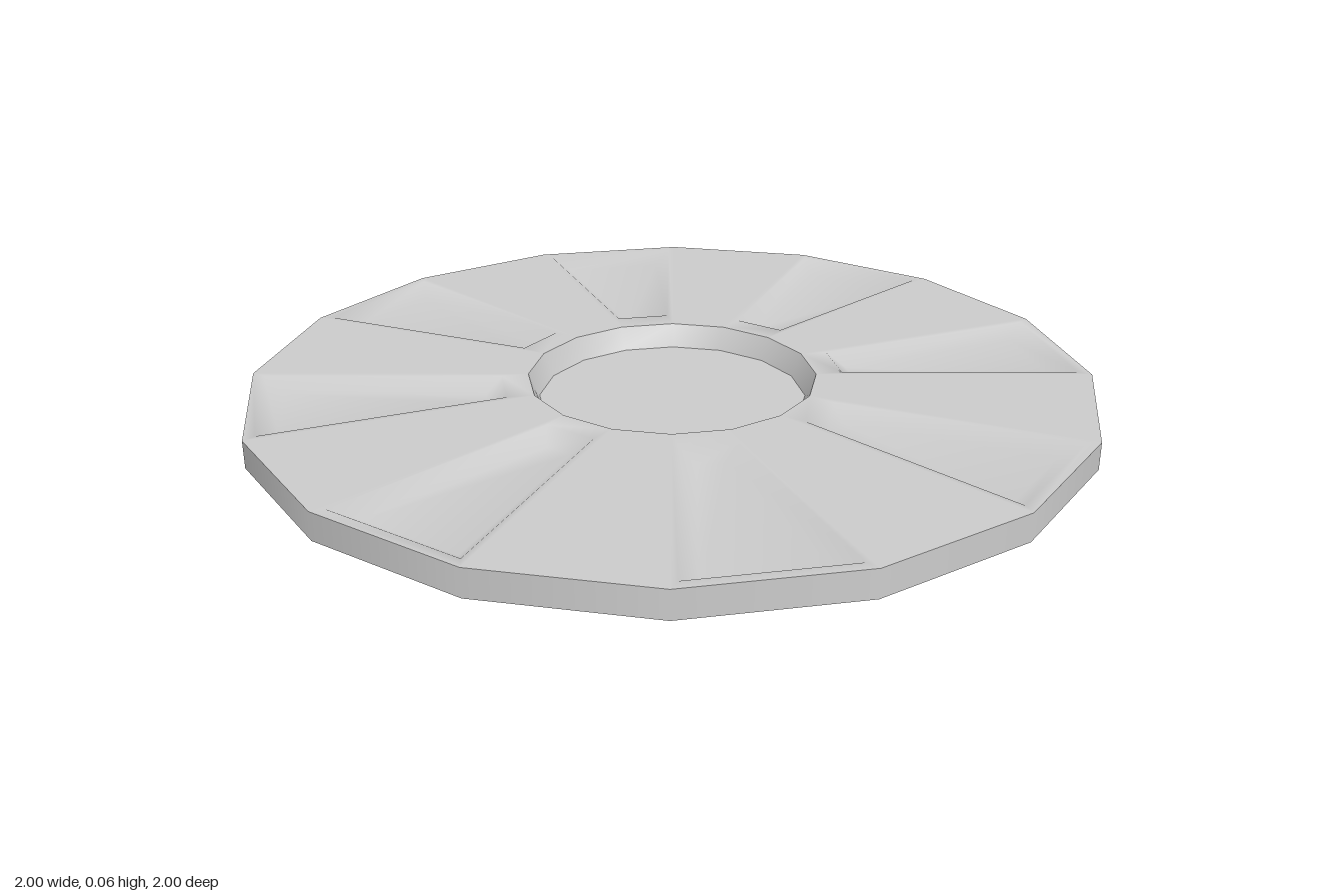
import * as THREE from 'three';

const SIDES = 16, STEP = (Math.PI * 2) / SIDES, TAN = Math.tan(STEP / 2);
const HEIGHT = 0.065, WELL_TOP = 0.343, WELL_FLOOR = 0.318, FLOOR_Y = 0.01;
const material = new THREE.MeshStandardMaterial({ color: 0xcccccc, side: THREE.DoubleSide });

function addMesh(parent, name, geometry, y = 0) {
  const mesh = new THREE.Mesh(geometry, material);
  mesh.name = name;
  mesh.position.y = y;
  parent.add(mesh);
  return mesh;
}

// Four corners of a trapezoid in a sector, inset from the sector's two sides
function trapezoid(near, far, inset, y) {
  const a = near * TAN - inset, b = far * TAN - inset;
  return [near, y, -a, near, y, a, far, y, b, far, y, -b];
}

// One sector of the top; further loops step down into the dish
function sectorGeometry(loops) {
  const index = [];
  for (let r = 0; r < loops.length - 1; r++) {
    for (let k = 0; k < 4; k++) {
      const a = r * 4 + k, b = r * 4 + ((k + 1) % 4);
      index.push(a, b, b + 4, a, b + 4, a + 4);
    }
  }
  const f = (loops.length - 1) * 4;
  index.push(f, f + 1, f + 2, f, f + 2, f + 3);
  const geometry = new THREE.BufferGeometry();
  geometry.setAttribute('position', new THREE.Float32BufferAttribute(loops.flat(), 3));
  geometry.setIndex(index);
  geometry.computeVertexNormals();
  return geometry;
}

export function createModel() {
  const group = new THREE.Group();
  group.name = 'disc';

  // Outer rim, open underneath
  addMesh(group, 'outerRim', new THREE.CylinderGeometry(1, 1, HEIGHT, SIDES, 1, true), HEIGHT / 2);

  // Top made of alternating dished and flat sectors
  const apothem = Math.cos(STEP / 2);
  const outline = trapezoid(WELL_TOP * apothem, apothem, 0, HEIGHT);
  const flat = sectorGeometry([outline]);
  const dished = sectorGeometry([
    outline,
    trapezoid(0.4, 0.955, 0.015, HEIGHT),
    trapezoid(0.44, 0.91, 0.054, HEIGHT - 0.03),
  ]);
  for (let i = 0; i < SIDES; i++) {
    const isDish = i % 2 === 0;
    const sector = addMesh(group, isDish ? 'dishedSector' : 'flatSector', isDish ? dished : flat);
    sector.rotation.y = -(i + 0.5) * STEP;
  }

  // Sunken centre well
  const depth = HEIGHT - FLOOR_Y;
  const wall = new THREE.CylinderGeometry(WELL_TOP, WELL_FLOOR, depth, SIDES, 1, true);
  wall.scale(-1, 1, 1); // turned to face the axis
  addMesh(group, 'wellWall', wall, FLOOR_Y + depth / 2);
  wall.computeVertexNormals();
  const floor = new THREE.CircleGeometry(WELL_FLOOR, SIDES).rotateX(-Math.PI / 2);
  addMesh(group, 'wellFloor', floor, FLOOR_Y);

  return group;
}
